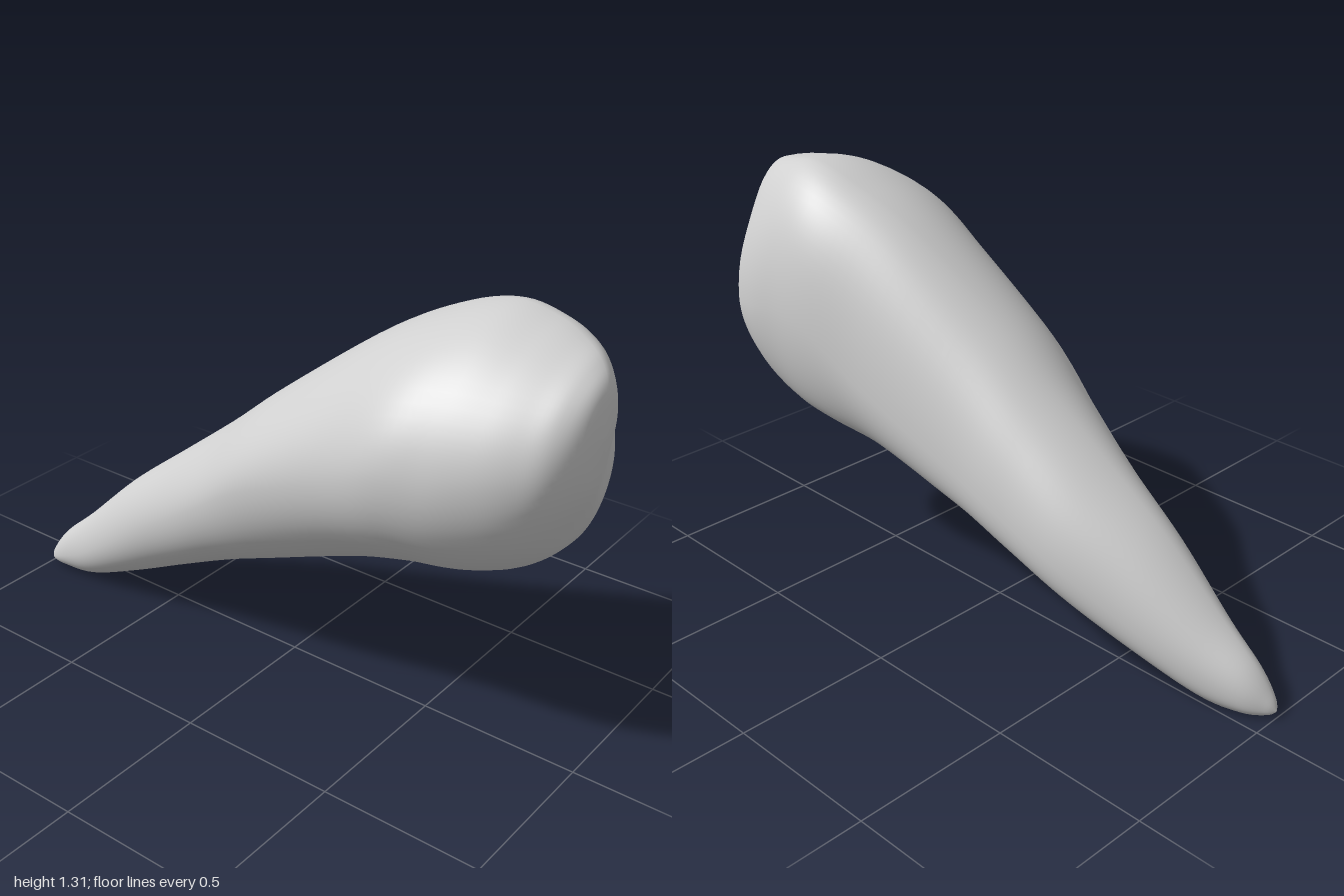
import * as THREE from 'three';
import { mergeVertices } from 'three/addons/utils/BufferGeometryUtils.js';

const { lerp, smoothstep } = THREE.MathUtils;

// Cross-sections from blunt front to pointed back:
// z, xMin, xMax, yMin, yMax, x of crest, height of left side, height of right side
const SECTIONS = [
  [1.0, -0.02, -0.02, 1.06, 1.06, -0.02, 1.06, 1.06],
  [0.985, -0.12, 0.085, 0.9, 1.18, 0.0, 1.04, 1.03],
  [0.94, -0.2, 0.19, 0.775, 1.235, 0.04, 1.0, 0.94],
  [0.87, -0.25, 0.3, 0.65, 1.265, 0.08, 0.97, 0.86],
  [0.78, -0.29, 0.335, 0.57, 1.29, 0.11, 0.95, 0.86],
  [0.65, -0.325, 0.34, 0.52, 1.305, 0.12, 0.92, 0.88],
  [0.5, -0.34, 0.335, 0.495, 1.265, 0.11, 0.91, 0.85],
  [0.3, -0.305, 0.295, 0.45, 1.16, 0.06, 0.82, 0.71],
  [0.0, -0.28, 0.24, 0.35, 0.93, -0.01, 0.68, 0.55],
  [-0.2, -0.24, 0.215, 0.27, 0.76, -0.02, 0.54, 0.45],
  [-0.4, -0.2, 0.185, 0.18, 0.6, -0.04, 0.4, 0.35],
  [-0.6, -0.18, 0.12, 0.09, 0.44, -0.06, 0.26, 0.23],
  [-0.8, -0.15, 0.045, 0.01, 0.25, -0.075, 0.12, 0.12],
  [-0.92, -0.135, -0.01, 0.0, 0.145, -0.08, 0.06, 0.06],
  [-0.98, -0.115, -0.06, 0.008, 0.065, -0.09, 0.03, 0.03],
  [-1.0, -0.09, -0.09, 0.022, 0.022, -0.09, 0.022, 0.022],
];
const SIDES = 64;
const STEPS = 6;

// Smooth interpolation between neighbouring sections
function sectionAt(t) {
  const last = SECTIONS.length - 1;
  const i = Math.min(Math.floor(t), last - 1);
  const f = t - i;
  const row = (k) => SECTIONS[Math.max(0, Math.min(last, k))];
  return SECTIONS[0].map((_, c) => {
    const [a, b, d, e] = [row(i - 1)[c], row(i)[c], row(i + 1)[c], row(i + 2)[c]];
    return b + 0.5 * f * (d - a + f * (2 * a - 5 * b + 4 * d - e + f * (3 * (b - d) + e - a)));
  });
}

// On the +x side: a fuller lower corner along the taper, a leaner upper corner at the front
function cornerScale(c, s, z) {
  if (c <= 0) return 1;
  const amount = s < 0 ? 0.07 * (1 - smoothstep(z, 0, 0.4)) : -0.07 * smoothstep(z, 0.55, 0.85);
  return 1 + amount * (2 * c * s) ** 2;
}

// Shallow diagonal hollow on the blunt end
function hollow(x, y, z) {
  const across = (x - 0.15) * 0.82 - (y - 0.98) * 0.57;
  const along = (x - 0.15) * 0.57 + (y - 0.98) * 0.82;
  const front = smoothstep(z, 0.75, 0.93);
  return 0.024 * front * Math.exp(-((across / 0.1) ** 2) - (along / 0.2) ** 2);
}

function taperedBody() {
  const positions = [];
  const indices = [];
  const rows = (SECTIONS.length - 1) * STEPS;
  for (let i = 0; i <= rows; i++) {
    const [z, xMin, xMax, yMin, yMax, crest, yLeft, yRight] = sectionAt(i / STEPS);
    // the keel lies a little to +x of the crest
    const keel = crest + 0.1 * (xMax - xMin);
    for (let j = 0; j < SIDES; j++) {
      const a = (j / SIDES) * Math.PI * 2;
      const c = Math.cos(a);
      const s = Math.sin(a);
      const k = cornerScale(c, s, z);
      const midX = lerp(keel, crest, (s + 1) / 2);
      const midY = lerp(yLeft, yRight, (c + 1) / 2);
      const x = midX + k * c * (c > 0 ? xMax - midX : midX - xMin);
      const y = midY + k * s * (s > 0 ? yMax - midY : midY - yMin);
      positions.push(x, y, z - hollow(x, y, z));
      if (i < rows) {
        const p = i * SIDES + j;
        const q = i * SIDES + ((j + 1) % SIDES);
        if (i < rows - 1) indices.push(p + SIDES, q + SIDES, q);
        if (i > 0) indices.push(p, p + SIDES, q);
      }
    }
  }
  let geometry = new THREE.BufferGeometry();
  geometry.setAttribute('position', new THREE.Float32BufferAttribute(positions, 3));
  geometry.setIndex(indices);
  geometry = mergeVertices(geometry, 1e-5);
  geometry.computeVertexNormals();
  return geometry;
}

export function createModel() {
  const group = new THREE.Group();
  const grey = new THREE.MeshStandardMaterial({ color: 0xd0d0d0 });
  grey.name = 'light grey';
  const body = new THREE.Mesh(taperedBody(), grey);
  body.name = 'taperedBody';
  group.add(body);
  return group;
}
